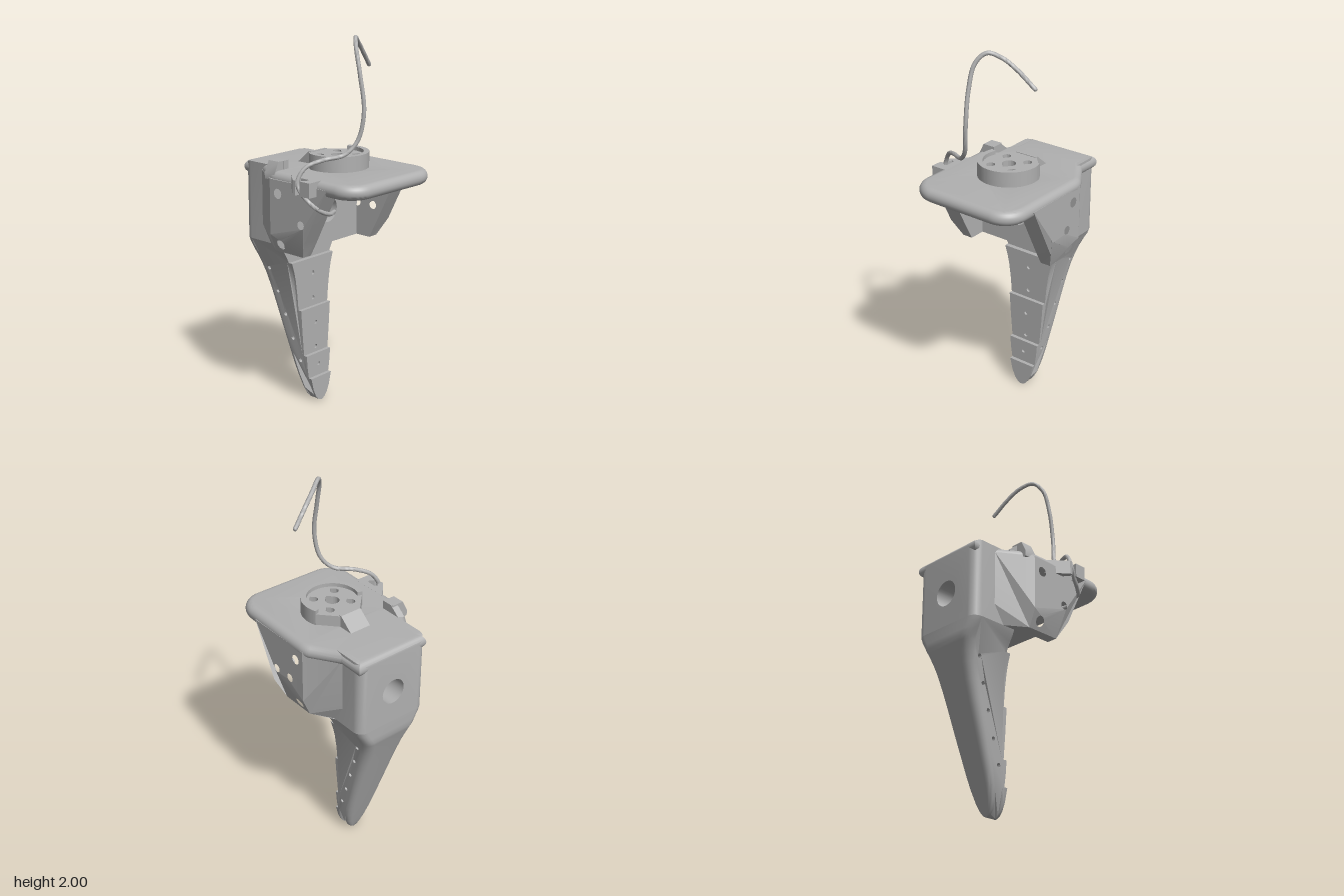
import * as THREE from 'three';
import { toCreasedNormals } from 'three/addons/utils/BufferGeometryUtils.js';

const CX = 0.022; // centre line of the body
const V = (pts) => pts.map(([a, b]) => new THREE.Vector2(a, b));
const shapeOf = (pts, holes = []) => {
  const s = new THREE.Shape(V(pts));
  s.holes.push(...holes);
  return s;
};
const circle = (x, y, r) => new THREE.Path().absarc(x, y, r, 0, Math.PI * 2, true);
const teardrop = (x, y, r) => {
  const p = new THREE.Path();
  p.absarc(x, y, r, Math.PI * 0.25, Math.PI * 0.75, true);
  p.lineTo(x, y + r * 1.41);
  p.closePath();
  return p;
};

// Extrude in n layers, then place each vertex by a rule of (a, b, layer)
function layered(shape, n, place) {
  const g = new THREE.ExtrudeGeometry(shape, { depth: n, steps: n, bevelEnabled: false, curveSegments: 16 });
  const p = g.attributes.position;
  for (let i = 0; i < p.count; i++) {
    p.setXYZ(i, ...place(p.getX(i), p.getY(i), Math.round(p.getZ(i))));
  }
  return g;
}
// Side profile (z, y) pulled from x0 to x1
const prism = (pts, x0, x1) => layered(shapeOf(pts), 1, (z, y, k) => [k ? x0 : x1, y, z]);
// Plan outline (x, z) pulled from y0 to y1
const slab = (shape, y0, y1) =>
  new THREE.ExtrudeGeometry(shape, { depth: y1 - y0, bevelEnabled: false, curveSegments: 32 })
    .rotateX(Math.PI / 2).translate(0, y1, 0);

// Half width of the tapering spike at height y
const WIDTHS = [[0, 0.006], [0.01, 0.025], [0.03, 0.042], [0.07, 0.06], [0.14, 0.077], [0.2, 0.086], [0.27, 0.092],
  [0.4, 0.103], [0.53, 0.112], [0.62, 0.12], [0.7, 0.131], [0.75, 0.142], [0.8, 0.157], [0.82, 0.166],
  [0.85, 0.182], [0.88, 0.2], [0.905, 0.21]];
function halfWidth(y) {
  for (let i = 1; i < WIDTHS.length; i++) {
    const [y0, w0] = WIDTHS[i - 1], [y1, w1] = WIDTHS[i];
    if (y <= y1 + 1e-5) return w0 + (w1 - w0) * (y - y0) / (y1 - y0);
  }
  return 0.21;
}
const backZ = (y) => (y >= 0.82 ? -0.435 : -0.145 - 0.29 * (y / 0.82));
// Front steps of the spike: from y, to y, z of the face, heights of pin holes
const STEPS = [[0, 0.14, -0.08, []], [0.14, 0.27, -0.1, [0.205]], [0.27, 0.53, -0.12, [0.3, 0.44]],
  [0.53, 0.8, -0.14, [0.575, 0.715]], [0.8, 0.905, -0.165, [0.85, 0.885]]];
const heights = (a, b) => WIDTHS.map((w) => w[0]).filter((y) => y >= a && y <= b);

export function createModel() {
  const model = new THREE.Group();
  const grey = new THREE.MeshStandardMaterial({ color: 0xb0b0b0 });
  grey.name = 'grey plastic';
  const add = (name, geo, crease = 0.6) => {
    const m = new THREE.Mesh(toCreasedNormals(geo, crease), grey);
    m.name = name;
    model.add(m);
  };

  // Spike: side profile with cross holes, width by height, rounded back edges
  const profile = [];
  for (const [a, b, z] of STEPS) for (const y of heights(a, b)) profile.push([z - 0.012, y]);
  for (const y of heights(0, 0.905).reverse()) profile.push([backZ(y), y]);
  const pins = [[-0.33, 0.735], [-0.285, 0.61], [-0.24, 0.485], [-0.195, 0.355], [-0.15, 0.235]];
  const N = 5;
  add('spike', layered(shapeOf(profile, pins.map(([z, y]) => circle(z, y, 0.011))), 2 * N + 1, (z, y, k) => {
    const side = k <= N ? 1 : -1;
    const a = (side > 0 ? k : 2 * N + 1 - k) / N * Math.PI / 2;
    const w = halfWidth(y), r = Math.min(0.05, w * 0.4);
    const push = Math.abs(z - backZ(y)) < 1e-4 ? r * (1 - Math.sin(a)) : 0;
    return [CX + side * (w - r * (1 - Math.cos(a))), y, z + push];
  }));

  // Stepped front faces of the spike with pin holes
  for (const [a, b, z, holes] of STEPS) {
    const ys = heights(a, b);
    const outline = [...ys.map((y) => [CX + halfWidth(y), y]), ...ys.reverse().map((y) => [CX - halfWidth(y), y])];
    const s = shapeOf(outline, holes.map((y) => circle(CX, y, 0.011)));
    add('spikeStep', new THREE.ExtrudeGeometry(s, { depth: 0.012, bevelEnabled: false }).translate(0, 0, z - 0.012));
  }

  // Back of the body, rounded at the rear, with a round hole through
  const rect = (h, y0, y1) => [[CX - h, y0], [CX + h, y0], [CX + h, y1], [CX - h, y1]];
  const bore = () => circle(CX, 1.085, 0.068);
  add('bodyBack', layered(shapeOf(rect(0.21, 0.905, 1.324), [bore()]), N + 1, (x, y, k) => {
    const r = 0.05, a = Math.min(k / N, 1) * Math.PI / 2;
    const push = r * (1 - Math.sin(a));
    if (Math.abs(x - CX) > 0.2) x -= Math.sign(x - CX) * push;
    if (y > 1.3) y -= push * 0.6;
    return [x, y, k > N ? -0.13 : -0.435 + r * (1 - Math.cos(a))];
  }));
  add('bodyCore', layered(shapeOf(rect(0.226, 0.905, 1.27), [bore()]), 1, (x, y, k) => [x, y, k ? -0.03 : -0.13]));

  // Side walls: flat front part with screw holes, tapered rear part
  const outer = (z, y) => 0.322 - Math.max(0, -0.13 - z) * 0.112 / 0.17 - Math.max(0, 1 - y) * 0.42;
  const frontWall = [[0.255, 1.29], [0.11, 1], [0.06, 0.905], [-0.13, 0.905], [-0.13, 1], [-0.13, 1.29]];
  const rearWall = [[-0.13, 1.29], [-0.13, 1], [-0.13, 0.905], [-0.3, 0.905], [-0.3, 1], [-0.3, 1.29]];
  for (const s of [1, -1]) {
    const holes = [circle(0.083, 1.085, 0.022), circle(-0.075, 1.22, 0.026), circle(-0.075, 0.95, 0.026)];
    if (s > 0) holes.push(circle(-0.025, 1.085, 0.022));
    const place = (inner) => (z, y, k) => [CX + s * ((k === 0) === (s > 0) ? outer(z, y) : inner), y, z];
    add('sideWall', layered(shapeOf(frontWall, holes), 1, place(0.225)), 0.3);
    add('sideWallRear', layered(shapeOf(rearWall), 1, place(0.18)), 0.3);
  }

  // Top plate with rounded rim
  const plate = new THREE.Shape();
  plate.moveTo(-0.185, -0.435);
  plate.lineTo(0.24, -0.435);
  plate.lineTo(0.24, -0.3);
  plate.lineTo(0.328, -0.165);
  plate.quadraticCurveTo(0.345, -0.14, 0.345, -0.1);
  plate.lineTo(0.34, 0.3);
  plate.bezierCurveTo(0.34, 0.375, 0.285, 0.435, 0.21, 0.435);
  plate.lineTo(-0.165, 0.43);
  plate.bezierCurveTo(-0.24, 0.43, -0.298, 0.37, -0.298, 0.3);
  plate.lineTo(-0.292, -0.1);
  plate.quadraticCurveTo(-0.292, -0.14, -0.275, -0.165);
  plate.lineTo(-0.185, -0.3);
  plate.closePath();
  const HX = 0.025, HZ = 0.035; // centre of the horn
  plate.holes.push(circle(HX, HZ, 0.1));
  add('topPlate', new THREE.ExtrudeGeometry(plate, {
    depth: 0.001, bevelThickness: 0.037, bevelSize: 0.037, bevelOffset: -0.037, bevelSegments: 6, curveSegments: 16,
  }).rotateX(Math.PI / 2).translate(0, 1.288, 0));

  // Horn deck with teardrop holes, raised rim and rear ramp
  const deck = new THREE.Shape();
  deck.moveTo(-0.034, -0.11);
  deck.lineTo(0.09, -0.11);
  deck.lineTo(0.172, -0.02);
  deck.absarc(HX, HZ, 0.14, -0.3, Math.PI + 0.3, false);
  deck.lineTo(-0.122, -0.02);
  deck.closePath();
  deck.holes.push(teardrop(HX, HZ, 0.036));
  for (const x of [-0.04, 0.092]) for (const z of [-0.032, 0.1]) deck.holes.push(teardrop(x, z, 0.022));
  add('hornDeck', slab(deck, 1.252, 1.385));
  const rim = new THREE.Shape();
  rim.absarc(HX, HZ, 0.16, -0.36, Math.PI + 0.36, false);
  rim.absarc(HX, HZ, 0.132, Math.PI + 0.36, -0.36, true);
  rim.closePath();
  add('hornRim', slab(rim, 1.31, 1.405));
  add('hornRamp', prism([[-0.1, 1.31], [-0.1, 1.388], [-0.115, 1.388], [-0.19, 1.325], [-0.19, 1.31]], -0.032, 0.09));

  // Small sloped lug at the rear right
  add('lug', prism([[-0.11, 1.28], [-0.11, 1.37], [-0.17, 1.37], [-0.23, 1.32], [-0.23, 1.28]], -0.222, -0.186));
  add('lugBase', layered(shapeOf([[-0.285, 1.28], [-0.19, 1.28], [-0.19, 1.37], [-0.255, 1.37], [-0.285, 1.31]]),
    1, (x, y, k) => [x, y, k ? -0.111 : -0.18]));

  // Notched clip that holds the wire
  add('wireClip', slab(shapeOf([[-0.26, -0.02], [-0.35, 0.08], [-0.35, 0.095], [-0.328, 0.1], [-0.31, 0.076],
    [-0.296, 0.085], [-0.296, 0.135], [-0.31, 0.145], [-0.33, 0.125], [-0.35, 0.125], [-0.35, 0.19], [-0.26, 0.19]]),
  1.25, 1.325));

  // Bent wire
  const path = new THREE.CatmullRomCurve3([[-0.15, 1.143, 0.17], [-0.22, 1.15, 0.2], [-0.295, 1.185, 0.195],
    [-0.33, 1.25, 0.13], [-0.338, 1.31, 0.1], [-0.3, 1.38, 0.115], [-0.23, 1.413, 0.16], [-0.13, 1.435, 0.22],
    [-0.075, 1.5, 0.255], [-0.052, 1.64, 0.275], [-0.052, 1.82, 0.248], [-0.04, 1.94, 0.212], [0, 1.988, 0.172],
    [0.06, 1.965, 0.132], [0.13, 1.91, 0.103], [0.213, 1.828, 0.077]].map((p) => new THREE.Vector3(...p)));
  add('wire', new THREE.TubeGeometry(path, 120, 0.011, 10), 1.2);
  const tip = new THREE.SphereGeometry(0.011, 10, 8);
  for (const t of [0, 1]) add('wireTip', tip.clone().translate(...path.getPoint(t).toArray()), 1.2);

  return model;
}
